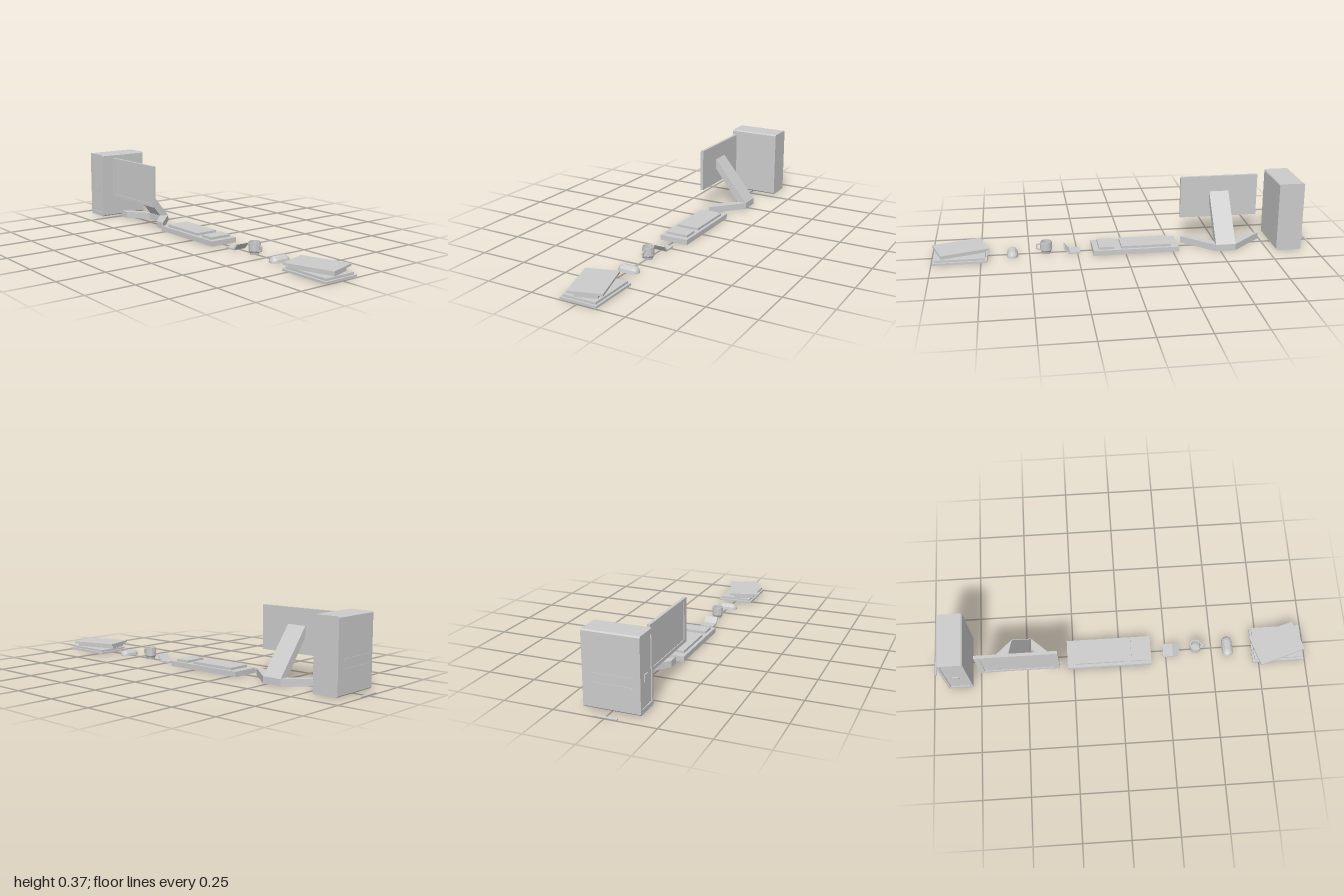
import * as THREE from 'three';

const mat = new THREE.MeshStandardMaterial({ color: 0xcccccc, flatShading: true, side: THREE.DoubleSide });

function add(parent, name, geo) {
  const mesh = new THREE.Mesh(geo, mat);
  mesh.name = name;
  parent.add(mesh);
  return mesh;
}

function group(parent, name) {
  const g = new THREE.Group();
  g.name = name;
  parent.add(g);
  return g;
}

// Box from its minimum and maximum corners
function box(parent, name, [x0, y0, z0], [x1, y1, z1]) {
  const mesh = add(parent, name, new THREE.BoxGeometry(x1 - x0, y1 - y0, z1 - z0));
  mesh.position.set((x0 + x1) / 2, (y0 + y1) / 2, (z0 + z1) / 2);
  return mesh;
}

const polygon = (pts) => new THREE.Shape(pts.map(([x, y]) => new THREE.Vector2(x, y)));
const rect = (x0, y0, x1, y1) => [[x0, y0], [x1, y0], [x1, y1], [x0, y1]];
const extrude = (shape, depth) => new THREE.ExtrudeGeometry(shape, { depth, bevelEnabled: false });

// Solid slab along z whose front carries a shallow rectangular recess
function recessedSlab(parent, name, outline, hole, z0, z1, recess) {
  add(parent, name + 'Body', extrude(polygon(outline), z1 - z0 - recess)).position.z = z0;
  const rim = polygon(outline);
  rim.holes.push(polygon(hole));
  add(parent, name + 'Rim', extrude(rim, recess)).position.z = z1 - recess;
}

function buildPen(root) {
  const pen = group(root, 'pen');
  const r = 0.005;
  const barrel = add(pen, 'penBarrel', new THREE.CylinderGeometry(r, r, 0.108, 8).rotateX(Math.PI / 2));
  barrel.position.z = 0.008;
  const tip = add(pen, 'penTip', new THREE.ConeGeometry(r, 0.018, 8).rotateX(-Math.PI / 2));
  tip.position.z = -0.055;
  pen.position.set(-0.995, r, 0);
}

function buildTower(root) {
  const tower = group(root, 'computerTower');
  const [l, r, t, c] = [-0.925, -0.792, 0.366, 0.006];
  const outline = [[l + c, 0.002], [r - c, 0.002], [r, c + 0.002], [r, t - c], [r - c, t], [l + c, t], [l, t - c], [l, c + 0.002]];
  recessedSlab(tower, 'tower', outline, rect(-0.91, 0.025, -0.807, 0.34), -0.14, 0.14, 0.005);
  box(tower, 'powerButton', [-0.877, 0.142, 0.13], [-0.843, 0.177, 0.14]);
  // Ventilation strips on the side
  for (const y of [0.12, 0.165]) {
    box(tower, 'sideStrip', [l - 0.002, y - 0.008, -0.09], [l + 0.01, y + 0.008, 0.115]);
  }
}

function buildMonitor(root) {
  const monitor = group(root, 'monitor');
  recessedSlab(monitor, 'screen', rect(-0.21, 0.127, 0.21, 0.354), rect(-0.182, 0.145, 0.182, 0.34), 0.088, 0.104, 0.004);
  // Slanted support, drawn in the (z, y) plane
  const arm = extrude(polygon([[0.088, 0.212], [0.088, 0.269], [-0.102, 0.035], [-0.05, 0.035]]), 0.105);
  add(monitor, 'supportArm', arm.rotateY(-Math.PI / 2).translate(0.0525, 0, 0));
  // Splayed foot, drawn in the (x, -z) plane
  const right = [[0.0525, 0.105], [0.216, -0.045], [0.157, -0.045], [0.0525, 0.045]];
  const left = right.map(([x, z]) => [-x, z]).reverse();
  add(monitor, 'splayedFoot', extrude(polygon([...right, ...left]), 0.035).rotateX(-Math.PI / 2));
  monitor.position.x = -0.528;
}

function buildKeyboard(root) {
  const keyboard = group(root, 'keyboard');
  box(keyboard, 'keyboardBase', [-0.282, 0, -0.081], [0.17, 0.027, 0.075]);
  box(keyboard, 'mainKeys', [-0.24, 0.027, -0.066], [0.022, 0.04, 0.058]);
  box(keyboard, 'numberPad', [0.063, 0.027, -0.066], [0.14, 0.04, 0.058]);
}

function buildFoldingPhone(root) {
  const phone = group(root, 'foldingPhone');
  box(phone, 'phoneBase', [0.235, 0, -0.036], [0.296, 0.008, 0.035]);
  const lid = [[0.29, 0], [0.298, 0.002], [0.322, 0.034], [0.316, 0.037], [0.29, 0.008]];
  add(phone, 'phoneLid', extrude(polygon(lid), 0.071)).position.z = -0.036;
}

function buildMug(root) {
  const mug = group(root, 'mug');
  const profile = [[0, 0], [0.023, 0], [0.025, 0.01], [0.031, 0.02], [0.031, 0.064], [0.026, 0.064], [0.025, 0.012], [0, 0.012]];
  add(mug, 'cup', new THREE.LatheGeometry(profile.map(([x, y]) => new THREE.Vector2(x, y)), 12));
  // Angular loop handle
  const handle = polygon([[0.027, 0.018], [0.045, 0.018], [0.053, 0.027], [0.053, 0.046], [0.047, 0.053], [0.027, 0.053]]);
  handle.holes.push(polygon([[0.027, 0.025], [0.042, 0.025], [0.046, 0.029], [0.046, 0.043], [0.043, 0.046], [0.027, 0.046]]));
  add(mug, 'mugHandle', extrude(handle, 0.008)).position.z = -0.004;
  mug.position.x = 0.412;
}

function buildMouse(root) {
  // Capsule flattened underneath
  const geo = new THREE.CapsuleGeometry(0.029, 0.056, 4, 12).rotateX(Math.PI / 2);
  const p = geo.attributes.position;
  for (let i = 0; i < p.count; i++) p.setY(i, Math.max(0, p.getY(i) * 1.07));
  geo.computeVertexNormals();
  add(root, 'mouse', geo).position.set(0.588, 0, -0.002);
}

function buildBooks(root) {
  const books = group(root, 'bookStack');
  const lower = group(books, 'lowerBook');
  box(lower, 'lowerCover', [-0.138, 0, -0.098], [0.138, 0.011, 0.098]);
  box(lower, 'lowerPages', [-0.128, 0.011, -0.087], [0.128, 0.022, 0.087]);
  lower.position.set(0.856, 0, 0);
  const upper = group(books, 'upperBook');
  box(upper, 'upperPages', [-0.118, 0.022, -0.056], [0.118, 0.041, 0.056]);
  box(upper, 'upperCover', [-0.128, 0.041, -0.084], [0.128, 0.052, 0.084]);
  upper.position.set(0.853, 0, 0.012);
  upper.rotation.y = 0.3;
}

export function createModel() {
  const root = new THREE.Group();
  root.name = 'deskSet';
  [buildPen, buildTower, buildMonitor, buildKeyboard, buildFoldingPhone, buildMug, buildMouse, buildBooks].forEach((build) => build(root));
  return root;
}
